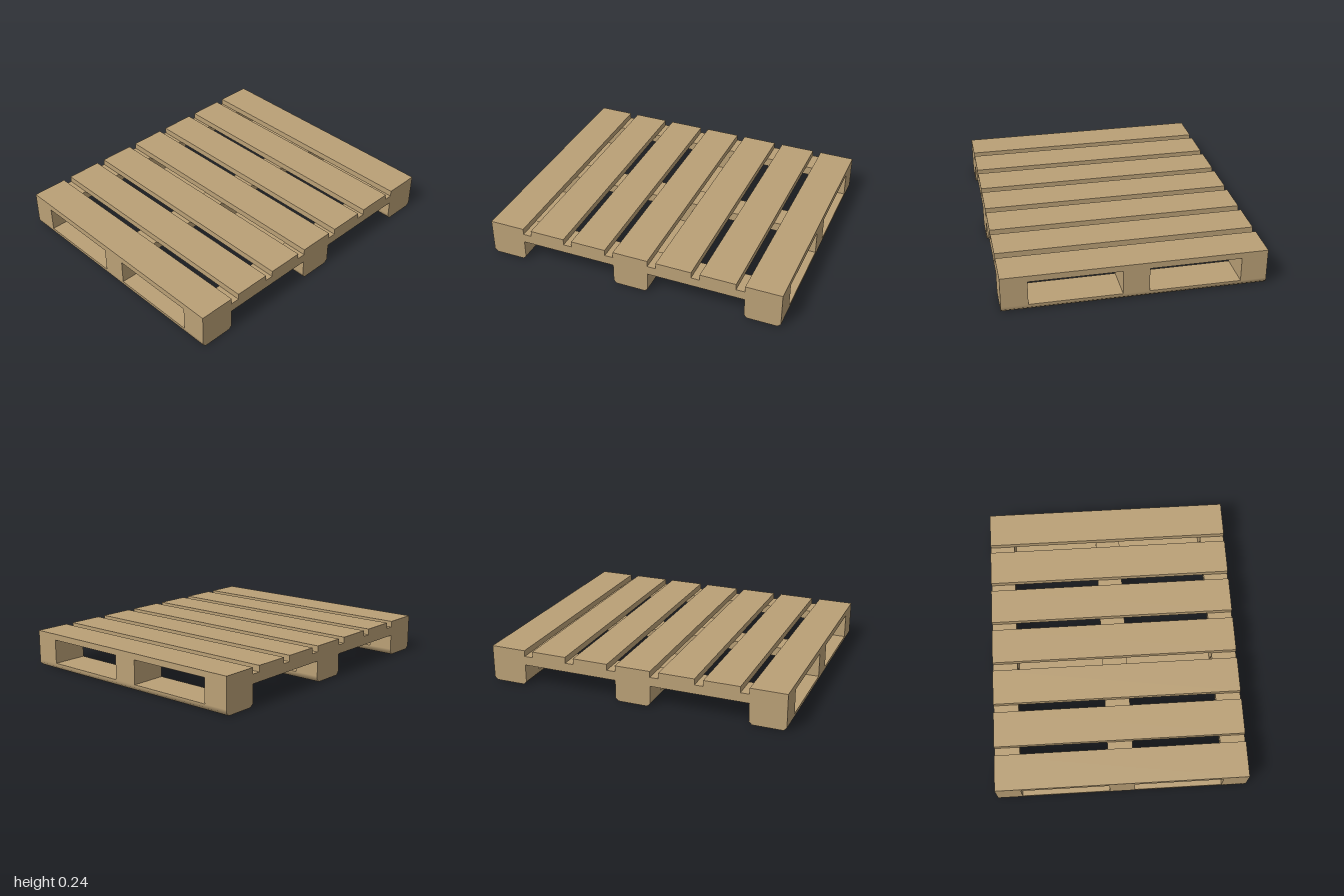
import * as THREE from 'three';
import { toCreasedNormals } from 'three/addons/utils/BufferGeometryUtils.js';

export function createModel() {
  const group = new THREE.Group();
  group.name = 'pallet';
  const wood = new THREE.MeshStandardMaterial({ color: 0xbaa076 });
  wood.name = 'wood';

  const boardW = 0.237, depth = 1.664, beamD = 0.167;
  const edgeX = 1 - boardW / 2, edgeZ = (depth - beamD) / 2;

  function add(name, geometry, x, y, z) {
    const mesh = new THREE.Mesh(geometry, wood);
    mesh.name = name;
    mesh.position.set(x, y, z);
    group.add(mesh);
  }

  // seven deck boards running front to back
  const deck = new THREE.BoxGeometry(boardW, 0.04, depth);
  for (let i = -3; i <= 3; i++) add('deckBoard', deck, (i * edgeX) / 3, 0.22, 0);

  // three cross beams under the deck
  const beam = new THREE.BoxGeometry(2, 0.06, beamD);
  for (const k of [-1, 0, 1]) add('crossBeam', beam, 0, 0.17, k * edgeZ);

  // nine spacer blocks
  const block = new THREE.BoxGeometry(boardW, 0.1, beamD);
  for (const i of [-1, 0, 1])
    for (const k of [-1, 0, 1]) add('block', block, i * edgeX, 0.09, k * edgeZ);

  // three bottom runners with softened, chamfered lower edges
  const w = boardW / 2, c = 0.02;
  const profile = new THREE.Shape();
  profile.moveTo(-w + c, 0);
  profile.lineTo(w - c, 0);
  profile.lineTo(w, c);
  profile.lineTo(w, 0.04);
  profile.lineTo(-w, 0.04);
  profile.lineTo(-w, c);
  profile.closePath();
  const runner = toCreasedNormals(
    new THREE.ExtrudeGeometry(profile, { depth, bevelEnabled: false }), 0.9);
  for (const i of [-1, 0, 1]) add('bottomRunner', runner, i * edgeX, 0, -depth / 2);

  return group;
}
